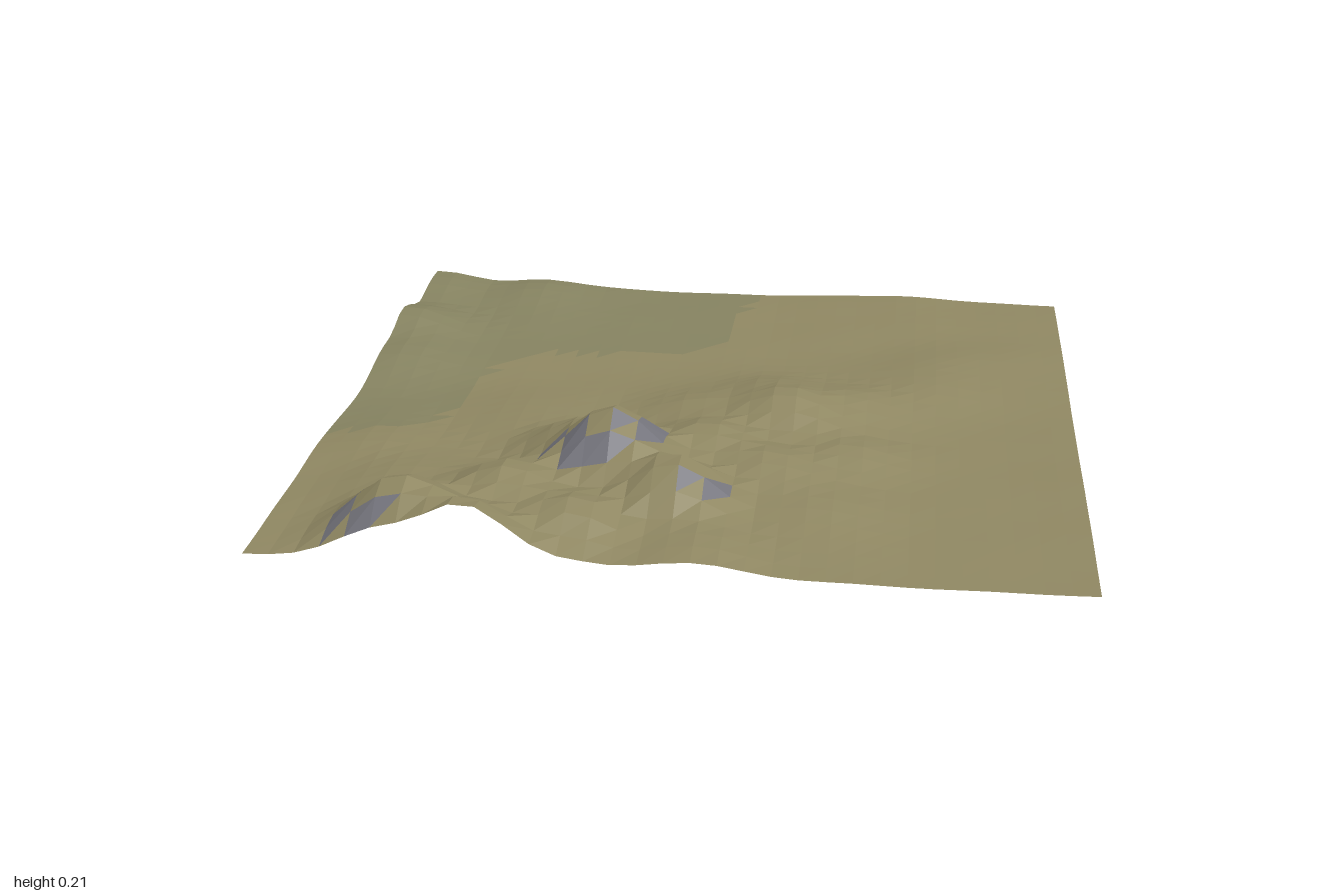
import * as THREE from 'three';

const CELLS = 32;

// Hills: centre x, centre z, height, radius
const HILLS = [
  // main ridge
  [-0.64, 0.87, 0.175, 0.16], [-0.42, 0.68, 0.12, 0.17], [-0.19, 0.49, 0.203, 0.17],
  [0.02, 0.32, 0.1, 0.17], [0.22, 0.11, 0.115, 0.17], [0.4, -0.02, 0.055, 0.18],
  // front ridge
  [-0.47, 1.0, 0.16, 0.17], [-0.25, 0.82, 0.1, 0.16], [-0.02, 0.65, 0.16, 0.15],
  [0.2, 0.46, 0.085, 0.17], [0.4, 0.33, 0.05, 0.16],
  // lower front shelf
  [0.05, 0.88, 0.055, 0.17], [0.3, 0.66, 0.045, 0.2],
  // slopes behind the ridge
  [-0.31, 0.36, 0.11, 0.15], [-0.02, 0.06, 0.06, 0.18], [0.18, -0.06, 0.07, 0.16],
  [-0.68, 0.6, 0.05, 0.22], [-0.85, 0.35, 0.03, 0.2], [-0.45, 0.15, 0.03, 0.22],
  [0.58, -0.22, 0.035, 0.2], [0.7, -0.4, 0.02, 0.2],
  // back left rises
  [-1.0, -0.55, 0.075, 0.17], [-0.95, -0.32, 0.045, 0.17], [-1.0, -0.95, 0.048, 0.2],
  [-0.65, -0.9, 0.035, 0.2], [0.5, -0.9, 0.015, 0.25],
];

// Hills blend by a soft maximum, so that each keeps its own height
function heightAt(x, z) {
  let sum = 0;
  for (const [cx, cz, h, r] of HILLS) {
    const d2 = ((x - cx) ** 2 + (z - cz) ** 2) / (r * r);
    sum += (h * Math.exp(-d2)) ** 2.6;
  }
  const hills = sum ** (1 / 2.6);
  const ripple = Math.sin(14 * x + 9 * z) * Math.sin(11 * z - 7 * x + 1);
  const plain = 0.007 + 0.003 * Math.sin(4 * x + 1) * Math.cos(5 * z) - 0.002 * x;
  return Math.max(0, plain + 0.0015 * ripple + hills * (0.97 + 0.05 * ripple));
}

function terrainMesh(name, positions, color) {
  const geometry = new THREE.BufferGeometry();
  geometry.setAttribute('position', new THREE.Float32BufferAttribute(positions, 3));
  geometry.computeVertexNormals();
  const material = new THREE.MeshStandardMaterial({
    color, flatShading: true, roughness: 1, side: THREE.DoubleSide,
  });
  const mesh = new THREE.Mesh(geometry, material);
  mesh.name = name;
  return mesh;
}

export function createModel() {
  const group = new THREE.Group();
  group.name = 'terrain';

  // Height field on a square grid, lowered to stand on the ground
  const plane = new THREE.PlaneGeometry(2, 2, CELLS, CELLS).rotateX(-Math.PI / 2);
  const pos = plane.attributes.position;
  for (let i = 0; i < pos.count; i++) pos.setY(i, heightAt(pos.getX(i), pos.getZ(i)));
  plane.computeBoundingBox();
  plane.translate(0, -plane.boundingBox.min.y, 0);

  // Sort the facets: steep ones are rock, low flat ones green, the rest dry grass
  const facets = plane.toNonIndexed().attributes.position;
  const grass = [], meadow = [], rock = [];
  const tri = new THREE.Triangle(), normal = new THREE.Vector3(), mid = new THREE.Vector3();
  for (let i = 0; i < facets.count; i += 3) {
    tri.setFromAttributeAndIndices(facets, i, i + 1, i + 2);
    tri.getNormal(normal);
    tri.getMidpoint(mid);
    const green = mid.x + mid.z < -0.75 + 0.2 * Math.sin(5 * mid.x - 4 * mid.z);
    const target = normal.y < 0.785 ? rock : green ? meadow : grass;
    for (const p of [tri.a, tri.b, tri.c]) target.push(p.x, p.y, p.z);
  }
  group.add(
    terrainMesh('dryGrass', grass, 0x8f8762),
    terrainMesh('greenGrass', meadow, 0x858260),
    terrainMesh('rockFaces', rock, 0x74747c),
  );
  return group;
}
